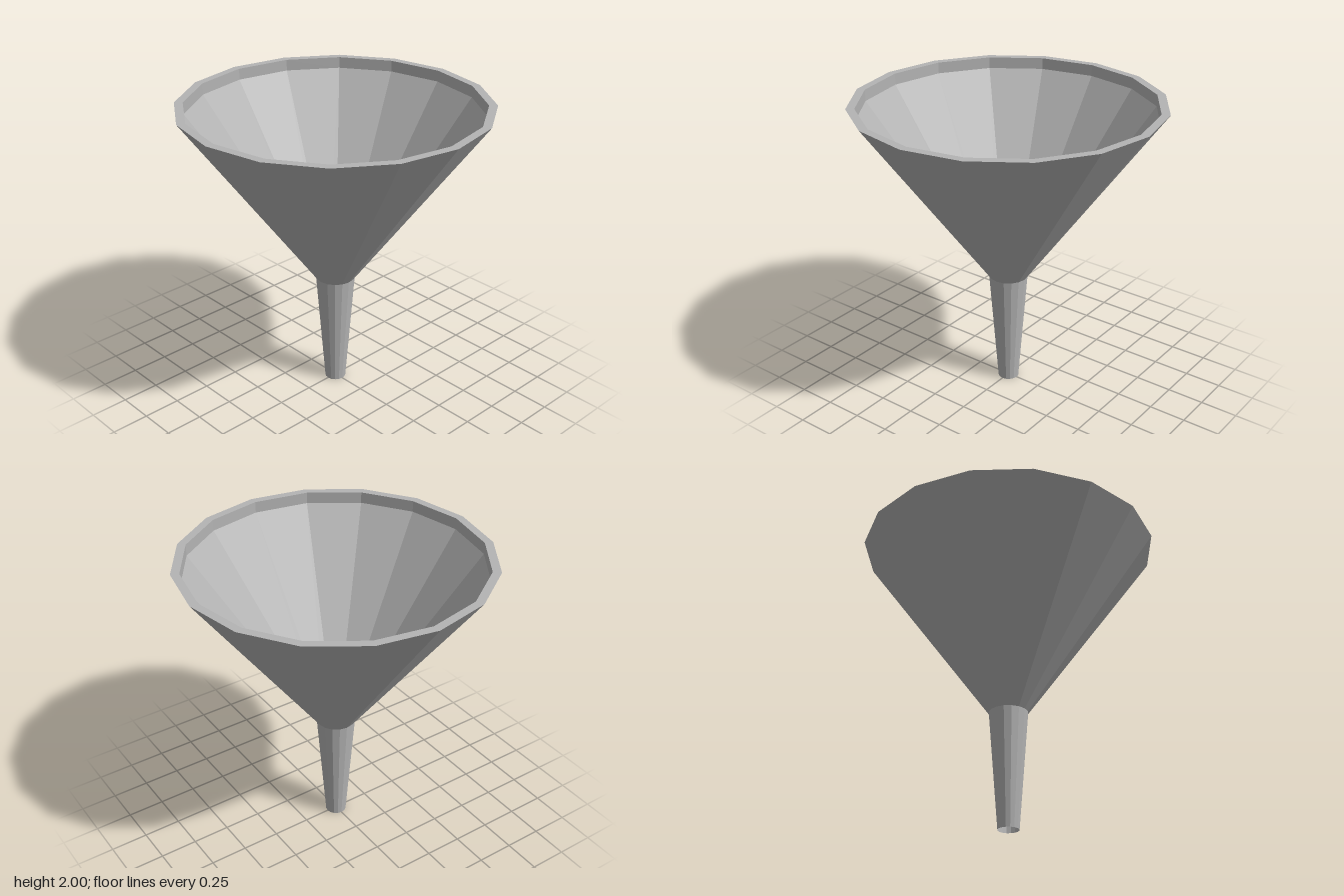
import * as THREE from 'three';

const SIDES = 16;

// Faceted ring of walls following a list of [radius, height] points
function turned(name, profile, material) {
  const points = profile.map(([r, y]) => new THREE.Vector2(r, y));
  const geometry = new THREE.LatheGeometry(points, SIDES).toNonIndexed();
  geometry.computeVertexNormals();
  const mesh = new THREE.Mesh(geometry, material);
  mesh.name = name;
  return mesh;
}

export function createModel() {
  const grey = new THREE.MeshStandardMaterial({
    name: 'grey', color: 0xb4b4b4, flatShading: true, side: THREE.DoubleSide,
  });

  const funnel = new THREE.Group();
  funnel.name = 'funnel';
  funnel.add(
    // Tapered open tube
    turned('spout', [[0.07, 0], [0.13, 0.79]], grey),
    // Wide thin-walled cone
    turned('cone', [[0.13, 0.79], [1, 2]], grey),
    // Flat top lip with a short upright inner wall down to the cone
    turned('rim', [[1, 2], [0.945, 2], [0.945, 1.924]], grey),
  );
  return funnel;
}
